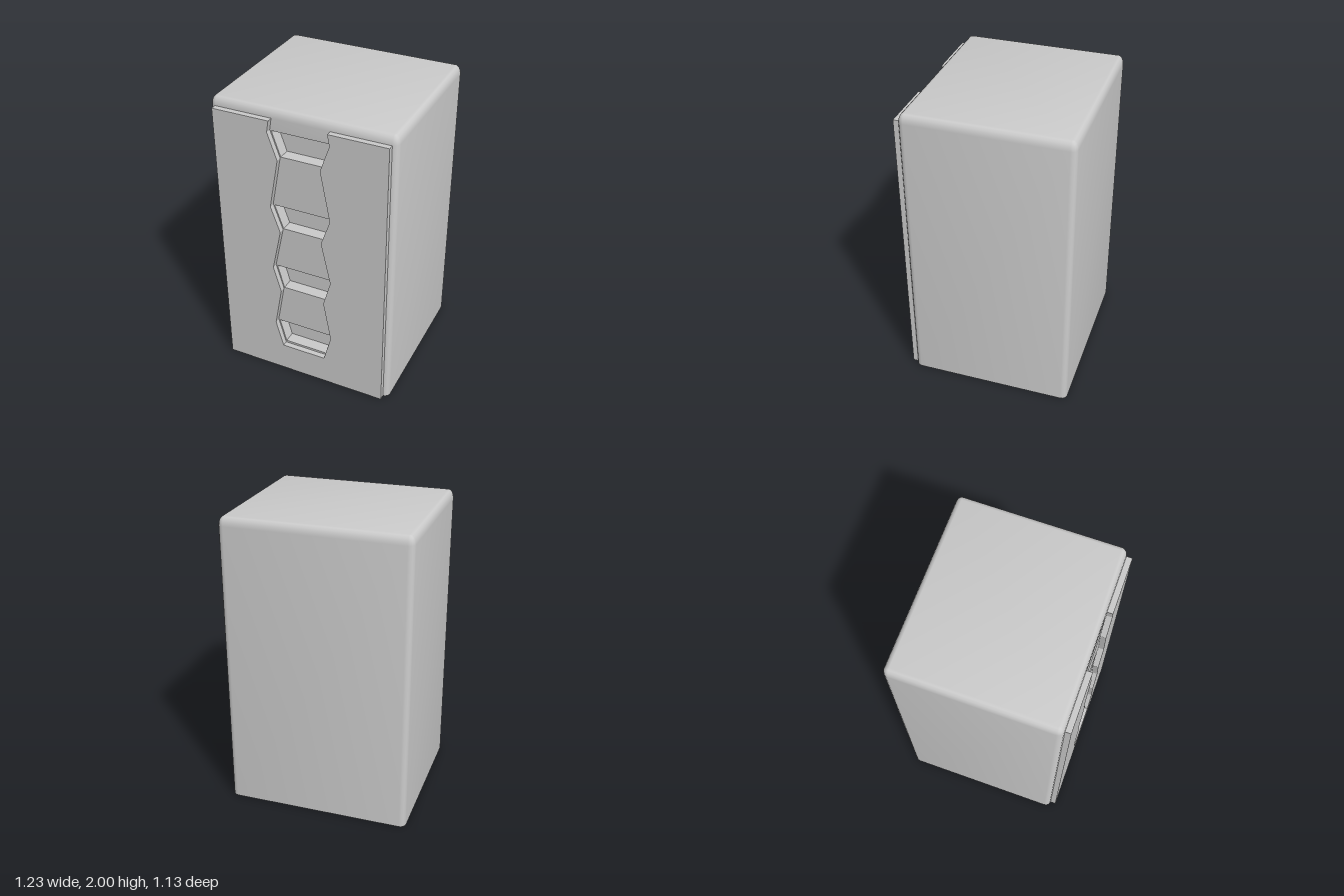
import * as THREE from 'three';
import { mergeGeometries, toCreasedNormals } from 'three/addons/utils/BufferGeometryUtils.js';

const W = 0.617, D = 0.547, H = 2, R = 0.04; // body half width, half depth, height, edge radius
const RISE = 0.06;                           // height of the rounded top edge
const FRONT = 0.527, PANEL = 0.038, RECESS = 0.08;

// Grips: top height, bottom height, half width at the bottom (top is GRIP_W)
const GRIP_W = 0.196;
const GRIPS = [[1.857, 1.69, 0.138], [1.33, 1.165, 0.138], [0.857, 0.688, 0.15], [0.39, 0.22, 0.15]];

const material = new THREE.MeshStandardMaterial({ color: 0xcccccc });
const insideMaterial = new THREE.MeshStandardMaterial({ color: 0xcccccc, side: THREE.DoubleSide });

const v2 = (x, y) => new THREE.Vector2(x, y);

// Rounded rectangle, anticlockwise from the front right, left open along the front
function outline(inset) {
  const r = Math.max(R - inset, 0.001), w = W - inset - r, d = D - inset - r, points = [];
  [[w, -d], [w, d], [-w, d], [-w, -d]].forEach(([cx, cy], corner) => {
    for (let i = 0; i <= 4; i++) {
      const a = (corner - 1 + i / 4) * Math.PI / 2;
      points.push(v2(cx + r * Math.cos(a), cy + r * Math.sin(a)));
    }
  });
  return points;
}

// Surface through rows of [x, y, z] points
function loft(rows) {
  const n = rows[0].length, index = [];
  for (let i = 0; i < rows.length - 1; i++) {
    for (let j = 0; j < n - 1; j++) {
      const a = i * n + j, d = a + n;
      index.push(a, a + 1, d + 1, a, d + 1, d);
    }
  }
  const geometry = new THREE.BufferGeometry();
  geometry.setAttribute('position', new THREE.Float32BufferAttribute(rows.flat(2), 3));
  geometry.setIndex(index);
  return geometry;
}

// Join surfaces, smooth only across soft edges
function join(parts) {
  const plain = parts.map((part) => {
    const g = part.toNonIndexed();
    g.deleteAttribute('uv');
    g.deleteAttribute('normal');
    return g;
  });
  return toCreasedNormals(mergeGeometries(plain), 0.6);
}

const gripPoints = ([top, bottom, w]) =>
  [v2(-GRIP_W, top), v2(-w, bottom), v2(w, bottom), v2(GRIP_W, top)];

function bodyGeometry() {
  const row = (points, y) => points.map((p) => [p.x, y, -p.y]);
  const closed = (points) => [...points, points[0]];

  // Side and back walls, then the rounded top edge
  const walls = loft([row(outline(0), 0), row(outline(0), H - RISE)]);
  const edgeRows = [];
  for (let i = 0; i <= 4; i++) {
    const a = (i / 4) * Math.PI / 2;
    edgeRows.push(row(closed(outline(R * (1 - Math.cos(a)))), H - RISE + RISE * Math.sin(a)));
  }
  const top = new THREE.ShapeGeometry(new THREE.Shape(outline(R))).rotateX(-Math.PI / 2).translate(0, H, 0);
  const bottom = new THREE.ShapeGeometry(new THREE.Shape(outline(0))).rotateX(Math.PI / 2);

  // Front face with an opening for each grip
  const x = W - R;
  const face = new THREE.Shape([v2(-x, 0), v2(x, 0), v2(x, H - RISE), v2(-x, H - RISE)]);
  face.holes = GRIPS.map((grip) => new THREE.Path(gripPoints(grip)));
  const front = new THREE.ShapeGeometry(face).translate(0, 0, D);

  return join([walls, loft(edgeRows), top, bottom, front]).translate(0, 0, FRONT - D);
}

// Open-fronted pocket behind a grip
function recessGeometry(grip) {
  const points = gripPoints(grip);
  const ring = (z) => [...points, points[0]].map((p) => [p.x, p.y, z]);
  const back = new THREE.ShapeGeometry(new THREE.Shape(points)).translate(0, 0, FRONT - RECESS);
  return join([loft([ring(FRONT - RECESS), ring(FRONT)]), back]);
}

// Raised front panel with a zigzag slot open at the top
function panelGeometry() {
  const x = 0.58, top = 1.94;
  const side = [v2(0.193, top)];
  GRIPS.forEach(([gripTop, gripBottom, w]) => {
    side.push(v2(GRIP_W + 0.01, gripTop + 0.005), v2(w + 0.005, gripBottom - 0.008));
  });
  side[side.length - 1].y = 0.205;
  const mirrored = side.map((p) => v2(-p.x, p.y)).reverse();
  const shape = new THREE.Shape([v2(-x, 0), v2(x, 0), v2(x, top), ...side, ...mirrored, v2(-x, top)]);
  return new THREE.ExtrudeGeometry(shape, { depth: PANEL, bevelEnabled: false }).translate(0, 0, FRONT);
}

export function createModel() {
  const group = new THREE.Group();
  group.name = 'drawerCabinet';
  const add = (name, geometry, mat = material) => {
    const mesh = new THREE.Mesh(geometry, mat);
    mesh.name = name;
    group.add(mesh);
  };
  add('body', bodyGeometry());
  add('frontPanel', panelGeometry());
  GRIPS.forEach((grip, i) => add(`gripRecess${i + 1}`, recessGeometry(grip), insideMaterial));
  return group;
}
